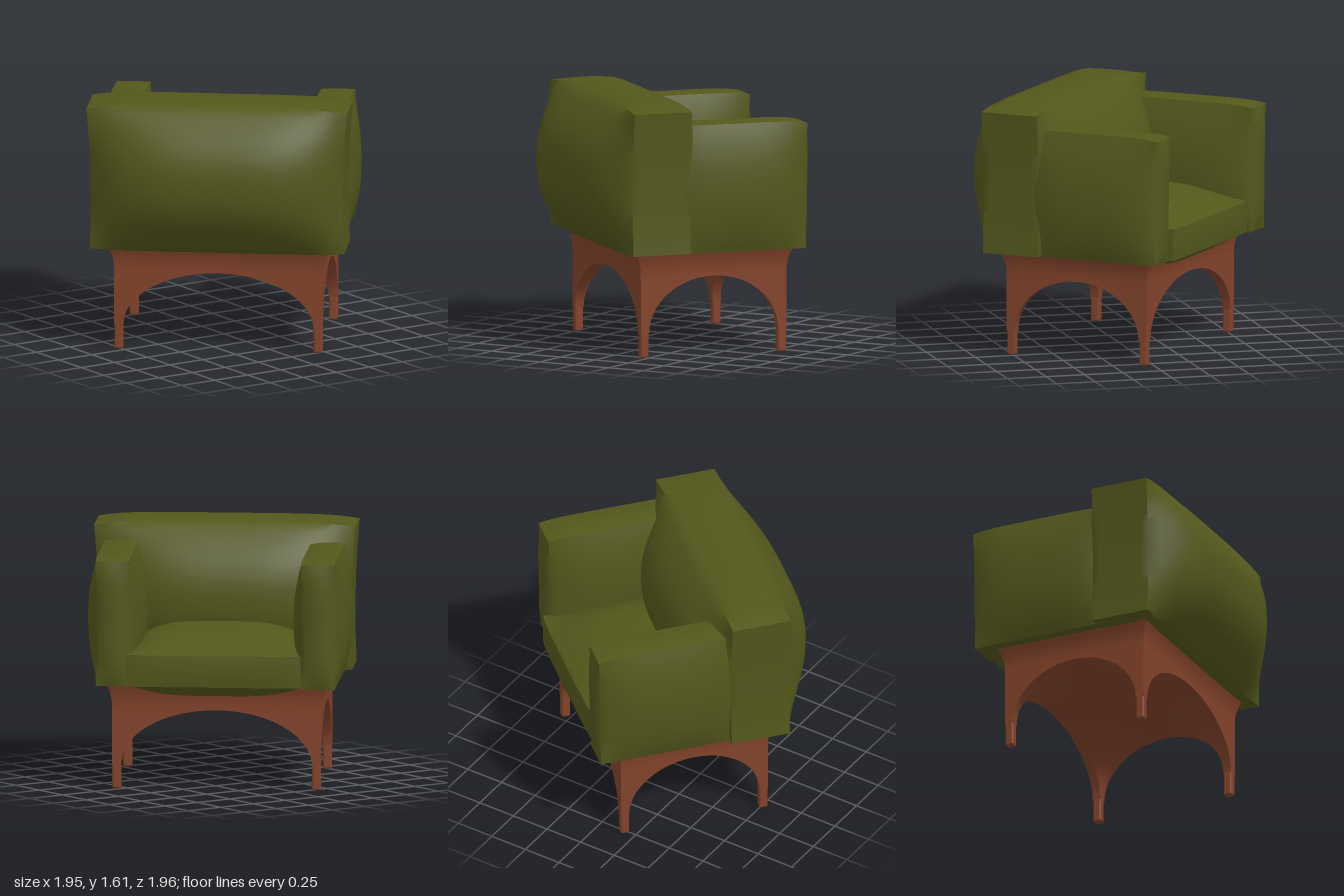
import * as THREE from 'three';
import { mergeVertices, toCreasedNormals } from 'three/addons/utils/BufferGeometryUtils.js';
import { RoundedBoxGeometry } from 'three/addons/geometries/RoundedBoxGeometry.js';

const fabric = new THREE.MeshStandardMaterial({ color: 0x53571b });
const wood = new THREE.MeshStandardMaterial({ color: 0x82432a });

function addMesh(parent, name, geometry, material) {
  const mesh = new THREE.Mesh(geometry, material);
  mesh.name = name;
  parent.add(mesh);
  return mesh;
}

// Stuffed cushion lying in the XY plane: a box of half sizes hw, hh whose half
// thickness grows from `rim` at the border to `belly` in the middle.
function cushionGeometry({ hw, hh, rim, belly, pu = 3.3, pv = 2.3, top = 0, bottom = 0, ends = 0, flare = 0 }) {
  let geo = new THREE.BoxGeometry(2, 2, 2, 24, 20, 8);
  geo.deleteAttribute('uv');
  geo.deleteAttribute('normal');
  const p = geo.attributes.position;
  for (let i = 0; i < p.count; i++) {
    const u = p.getX(i), v = p.getY(i), w = p.getZ(i);
    const puff = (1 - Math.abs(u) ** pu) * (1 - Math.abs(v) ** pv);
    const round = 1 - w * w;
    // The seams bow outwards between the pinched corners
    const crown = (v > 0 ? top : -bottom) * v * v * (1 - u ** 6) * (0.6 + 0.4 * round);
    const bow = ends * Math.sign(u) * u * u * (1 - v ** 4) * round;
    const pinch = 1 - 0.02 * (1 - v * v) + flare * v;
    p.setXYZ(i, u * hw * pinch + bow, v * hh + crown, w * (rim + (belly - rim) * puff));
  }
  geo = mergeVertices(geo, 1e-5);
  return toCreasedNormals(geo, 0.9);
}

// Frame with an arch on every side and a vaulted underside between the legs
const LEG = 0.055, OUT_X = 0.655, OUT_Z = 0.482, TOP = 0.665, SPRING = 0.15, CEILING = 0.5;

function frameGeometry() {
  const n = 30, rows = 12;
  const geo = new THREE.BoxGeometry(2, 1, 2, n, rows, n);
  const p = geo.attributes.position;
  // Outermost grid cell is the leg; inside it the points crowd towards the legs
  const spread = (t, outer) => {
    const k = Math.round(t * n / 2);
    if (Math.abs(k) === n / 2) return { pos: Math.sign(k) * outer, ratio: 1 };
    const s = Math.sin((k / (n / 2 - 1)) * Math.PI / 2);
    return { pos: s * (outer - LEG), ratio: Math.abs(s) };
  };
  for (let i = 0; i < p.count; i++) {
    const a = spread(p.getX(i), OUT_X), b = spread(p.getZ(i), OUT_Z);
    const q = Math.min(1, a.ratio * b.ratio);
    const under = SPRING + (CEILING - SPRING) * Math.sqrt(1 - q * q);
    const y = THREE.MathUtils.lerp(under, TOP, p.getY(i) + 0.5);
    // The rail flares out below the cushions
    const flare = 0.035 * Math.max(0, (y - 0.52) / (TOP - 0.52)) ** 2;
    p.setXYZ(i, a.pos * (1 + flare / OUT_X), y, b.pos * (1 + flare / OUT_Z));
  }
  geo.deleteAttribute('uv');
  geo.deleteAttribute('normal');
  return toCreasedNormals(mergeVertices(geo, 1e-5), 0.8);
}

export function createModel() {
  const model = new THREE.Group();
  model.name = 'armchair';

  // The chair stands turned on its spot, opening towards the back left
  const chair = new THREE.Group();
  chair.name = 'chair';
  chair.position.set(0.02, 0, -0.005);
  chair.rotation.y = THREE.MathUtils.degToRad(139.8);
  model.add(chair);

  // Wooden base
  addMesh(chair, 'frame', frameGeometry(), wood);
  for (const sx of [-1, 1]) for (const sz of [-1, 1]) {
    const leg = addMesh(chair, `${sz > 0 ? 'front' : 'back'}${sx < 0 ? 'Left' : 'Right'}Leg`,
      new RoundedBoxGeometry(LEG, 0.2, LEG, 3, 0.012), wood);
    leg.position.set(sx * (OUT_X - LEG / 2), 0.1, sz * (OUT_Z - LEG / 2));
  }

  // Backrest
  const back = addMesh(chair, 'backrest', cushionGeometry({
    hw: 0.81, hh: 0.45, rim: 0.19, belly: 0.44, top: 0.045, bottom: 0.015, flare: 0.012,
  }), fabric);
  back.position.set(0, 1.115, -0.39);

  // Armrests
  for (const [name, x, z] of [['leftArmrest', -0.645, 0.12], ['rightArmrest', 0.65, 0.185]]) {
    const arm = addMesh(chair, name, cushionGeometry({
      hw: 0.465, hh: 0.395, rim: 0.105, belly: 0.177, top: 0.03, ends: 0.04, flare: 0.012,
    }), fabric);
    arm.position.set(x, 1.055, z);
    arm.rotation.y = Math.PI / 2;
  }

  // Seat cushion
  const seat = addMesh(chair, 'seat', cushionGeometry({
    hw: 0.56, hh: 0.47, rim: 0.1, belly: 0.24, pu: 4, pv: 2.2, top: 0.02, bottom: 0.02,
  }), fabric);
  seat.position.set(0, 0.765, 0.15);
  seat.rotation.x = -Math.PI / 2;

  return model;
}
